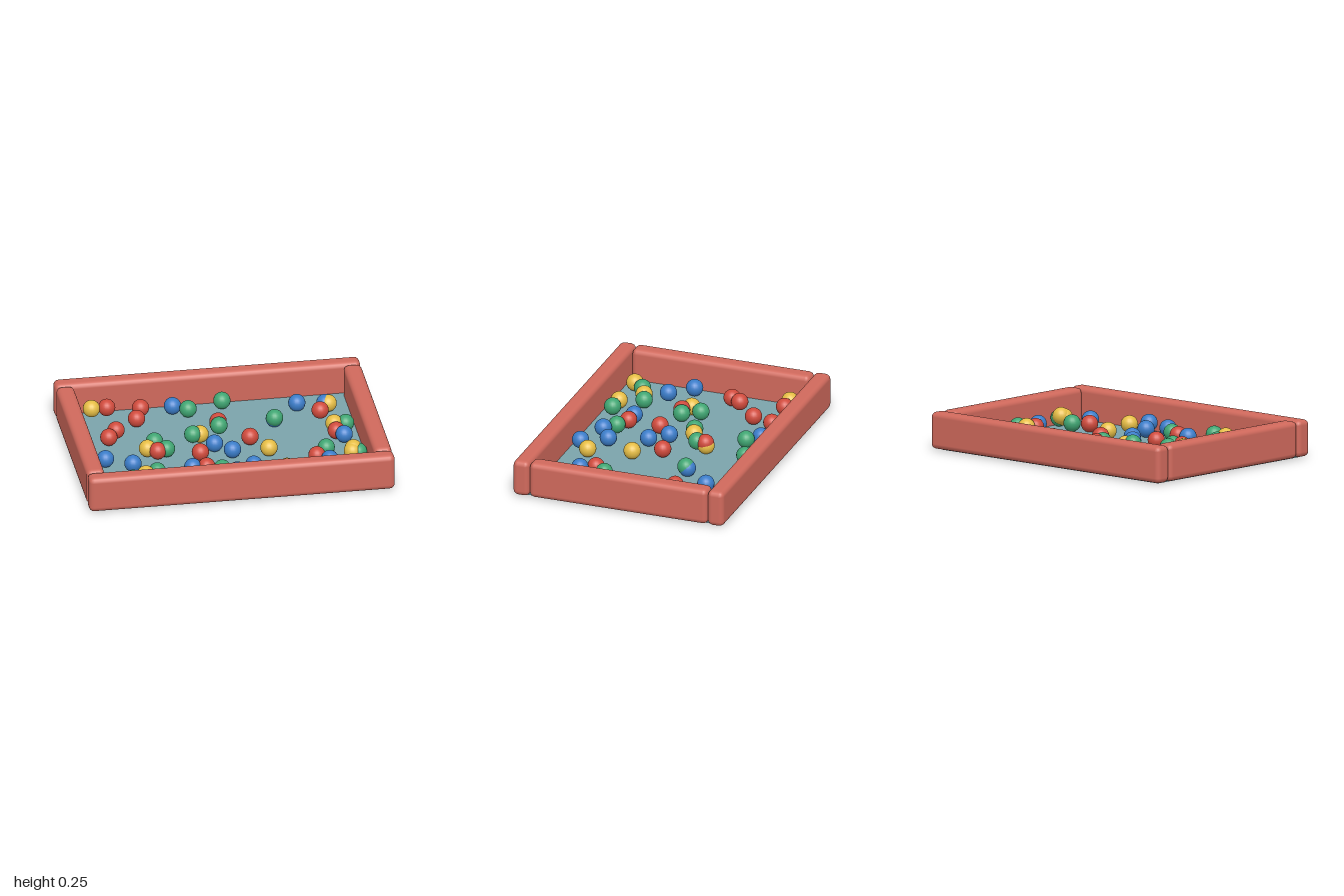
import * as THREE from 'three';
import { RoundedBoxGeometry } from 'three/addons/geometries/RoundedBoxGeometry.js';

const paint = (color) => new THREE.MeshStandardMaterial({ color });

// Ball centres per colour: [x, z] with an optional height
const BALLS = {
  red: { color: 0xcf4a3c, spots: [
    [-0.68, -0.52, 0.115], [-0.46, -0.515], [-0.51, -0.37], [-0.67, -0.215, 0.105], [-0.73, -0.14],
    [0, -0.23, 0.105], [0.17, 0], [-0.18, 0.15, 0.09], [-0.45, 0.1], [-0.175, 0.365],
    [0.675, -0.275, 0.105], [0.735, -0.005, 0.09], [0.555, 0.315, 0.09]] },
  yellow: { color: 0xe5bd45, spots: [
    [-0.78, -0.52, 0.115], [-0.51, 0.055], [-0.14, -0.1, 0.09], [0, -0.235, 0.085], [0.265, 0.175],
    [-0.58, 0.41], [-0.73, 0.53], [-0.44, 0.53], [0.335, 0.455], [0.745, -0.38],
    [0.735, -0.09, 0.1], [0.785, 0.325, 0.105], [0.795, 0.305, 0.115]] },
  green: { color: 0x3fa572, spots: [
    [-0.16, -0.45], [0.075, -0.53], [0.37, -0.235], [-0.005, -0.17, 0.105], [-0.19, -0.085, 0.1],
    [-0.45, -0.03, 0.1], [-0.39, 0.08], [-0.5, 0.38], [-0.67, 0.455], [-0.335, 0.535],
    [-0.08, 0.41], [0.63, 0.23], [0.81, -0.09], [0.825, 0.32]] },
  blue: { color: 0x3a7cc8, spots: [
    [-0.25, -0.52, 0.09], [0.55, -0.44, 0.085], [0.725, -0.39], [0.37, -0.245, 0.085], [-0.07, 0.045, 0.09],
    [0.03, 0.15, 0.09], [-0.8, 0.145, 0.09], [-0.64, 0.265, 0.105], [-0.265, 0.36], [0.01, 0.47, 0.105],
    [0.13, 0.39], [0.24, 0.54, 0.105], [0.775, 0.065], [0.625, 0.4, 0.1]] },
};

export function createModel() {
  const group = new THREE.Group();
  const wallMaterial = paint(0xd0695c);

  const addMesh = (name, geometry, material, x, y, z, parent = group) => {
    const mesh = new THREE.Mesh(geometry, material);
    mesh.name = name;
    mesh.position.set(x, y, z);
    parent.add(mesh);
  };

  // Floor mat reaching under the middle of the walls
  addMesh('floorMat', new THREE.BoxGeometry(1.89, 0.038, 1.34), paint(0x7ba3ab), 0, 0.019, 0);

  // Padded walls
  const longWall = new RoundedBoxGeometry(2, 0.242, 0.112, 2, 0.034);
  const shortWall = new RoundedBoxGeometry(0.118, 0.242, 1.226, 2, 0.034);
  for (const side of [1, -1]) {
    addMesh(side > 0 ? 'frontWall' : 'backWall', longWall, wallMaterial, 0, 0.128, side * 0.67);
    addMesh(side > 0 ? 'leftWall' : 'rightWall', shortWall, wallMaterial, side * 0.94, 0.128, 0);
  }

  // Loose play balls
  const ballGeometry = new THREE.SphereGeometry(0.056, 20, 14);
  for (const [name, { color, spots }] of Object.entries(BALLS)) {
    const set = new THREE.Group();
    set.name = name + 'Balls';
    const material = paint(color);
    for (const [x, z, y = 0.096] of spots) addMesh(name + 'Ball', ballGeometry, material, x, y, z, set);
    group.add(set);
  }
  return group;
}
